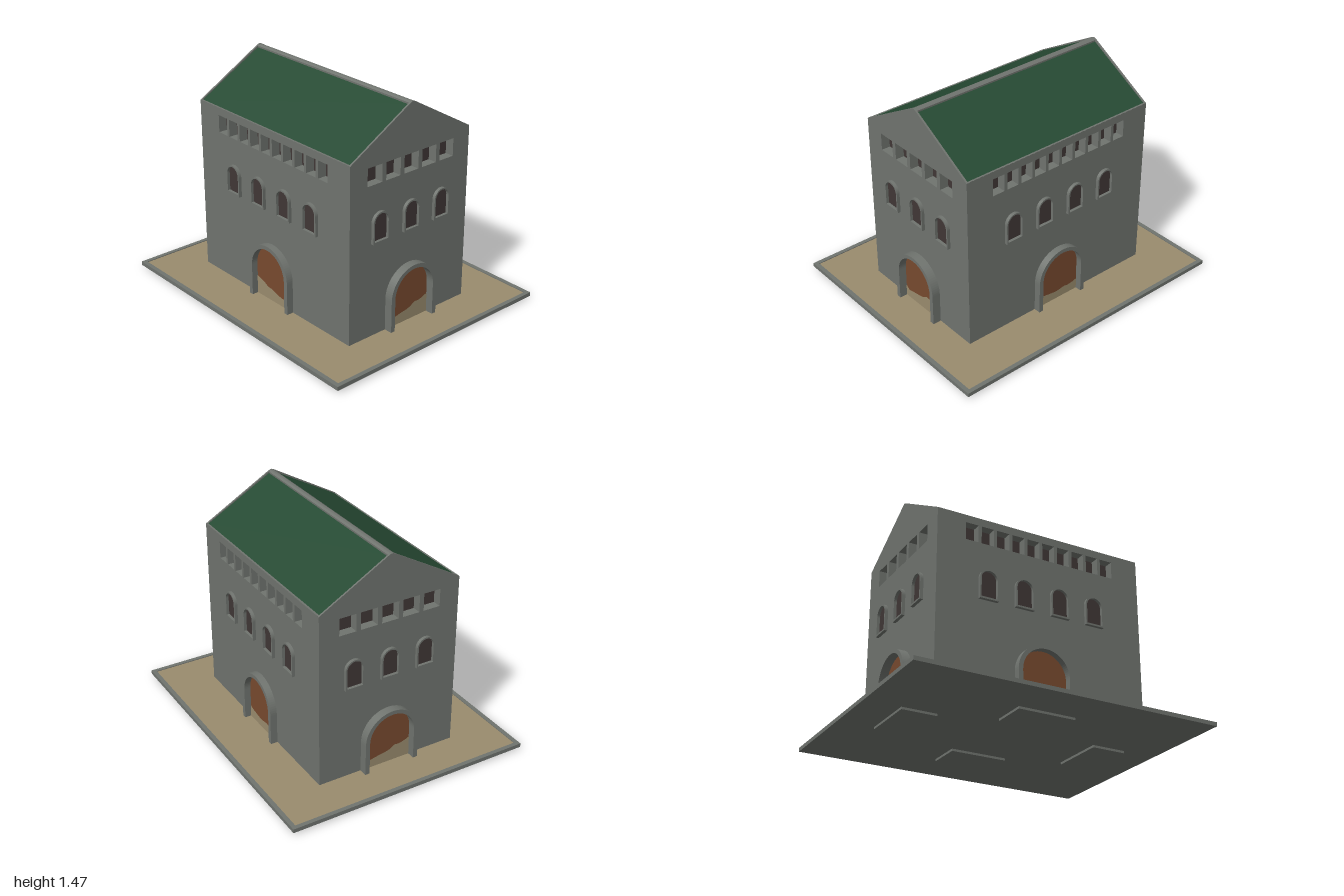
import * as THREE from 'three';

const mat = (name, color) => {
  const m = new THREE.MeshStandardMaterial({ color });
  m.name = name;
  return m;
};

export function createModel() {
  const root = new THREE.Group();
  root.name = 'gabledHall';
  const stone = mat('greyStone', 0x70746f);
  const sand = mat('sand', 0x9a8c6e);
  const green = mat('greenRoof', 0x264a33);
  const brown = mat('brownDoor', 0x784a2f);
  const dark = mat('darkGlass', 0x403736);

  const X = 0.713, Z = 0.483, EAVE = 1.2, WALL = 0.06;

  const add = (parent, name, geo, m, x = 0, y = 0, z = 0) => {
    const mesh = new THREE.Mesh(geo, m);
    mesh.name = name;
    mesh.position.set(x, y, z);
    parent.add(mesh);
    return mesh;
  };
  const poly = (pts) => new THREE.Shape(pts.map(([x, y]) => new THREE.Vector2(x, y)));
  const rect = (x0, y0, x1, y1) => poly([[x0, y0], [x1, y0], [x1, y1], [x0, y1]]);
  const arch = (r, y0, spring, cx = 0) => {
    const s = new THREE.Shape();
    s.moveTo(cx - r, y0);
    s.lineTo(cx + r, y0);
    s.lineTo(cx + r, spring);
    s.absarc(cx, spring, r, 0, Math.PI, false);
    s.closePath();
    return s;
  };
  const extrude = (shape, depth) =>
    new THREE.ExtrudeGeometry(shape, { depth, bevelEnabled: false, curveSegments: 20 });

  // Base slab with a raised rim around the sand
  add(root, 'baseSlab', new THREE.BoxGeometry(2, 0.018, 1.65), stone, 0, 0.024, 0);
  add(root, 'courtyard', new THREE.BoxGeometry(1.95, 0.004, 1.6), sand, 0, 0.034, 0);
  const rimShape = rect(-1, -0.825, 1, 0.825);
  rimShape.holes.push(rect(-0.972, -0.797, 0.972, 0.797));
  add(root, 'baseRim', extrude(rimShape, 0.01), stone, 0, 0.031, 0).rotation.x = -Math.PI / 2;

  // One facade: local +z points outwards, d is the distance of the wall plane
  const facade = (o) => {
    const g = new THREE.Group();
    g.name = o.name;
    g.rotation.y = o.angle;
    root.add(g);
    const { d } = o;

    // Wall pierced by the row of square openings
    const wall = rect(-o.half, 0.03, o.half, EAVE);
    for (let i = 0; i < o.count; i++) {
      const cx = (i - (o.count - 1) / 2) * o.pitch;
      wall.holes.push(rect(cx - o.w / 2, 1.035, cx + o.w / 2, 1.15));
    }
    add(g, 'wall', extrude(wall, WALL), stone, 0, 0, d - WALL);
    add(g, 'upperWindowBacking', new THREE.BoxGeometry(o.count * o.pitch, 0.15, 0.008),
      dark, 0, 1.092, d - WALL - 0.003);

    // Arched windows with projecting frames
    for (const cx of o.windows) {
      const frame = arch(0.064, 0.66, 0.794, cx);
      frame.holes.push(arch(0.054, 0.672, 0.794, cx));
      add(g, 'windowFrame', extrude(frame, 0.03), stone, 0, 0, d - 0.009);
      add(g, 'windowPane', new THREE.ShapeGeometry(arch(0.058, 0.668, 0.794, cx), 20),
        dark, 0, 0, d + 0.002);
    }

    // Portal running back into the building, with a foot below the slab
    const portal = arch(0.19, 0, 0.248);
    portal.holes.push(arch(0.16, 0.033, 0.252));
    add(g, 'portalFrame', extrude(portal, 0.23), stone, 0, 0, d + o.out - 0.23);
    add(g, 'door', new THREE.ShapeGeometry(arch(0.165, 0.033, 0.252), 20), brown, 0, 0, d + 0.002);
    const n = o.drift.length - 1;
    const top = o.drift.map((y, i) => [0.162 - (0.324 * i) / n, y]);
    add(g, 'doorSand', new THREE.ShapeGeometry(poly([[-0.162, 0.033], [0.162, 0.033], ...top])),
      sand, 0, 0, d + 0.004);
  };

  // Drift heights run from the right edge of each door to the left
  const long = { d: Z, half: X, count: 10, pitch: 0.1065, w: 0.085, out: 0.046,
    windows: [-0.37, -0.125, 0.123, 0.37] };
  const gable = { d: X, half: Z - WALL, count: 5, pitch: 0.1455, w: 0.115, out: 0.056,
    windows: [-0.25, 0, 0.25] };
  const slopeL = [0.125, 0.095, 0.092, 0.098, 0.108, 0.118, 0.122, 0.142, 0.15, 0.163];
  const slopeR = [0.165, 0.15, 0.14, 0.142, 0.12, 0.11, 0.105, 0.098, 0.09, 0.115];
  const level = [0.11, 0.1, 0.095, 0.1, 0.094, 0.09, 0.095, 0.1, 0.105, 0.12];
  facade({ ...long, name: 'frontFacade', angle: 0, drift: slopeL });
  facade({ ...long, name: 'backFacade', angle: Math.PI, drift: level });
  facade({ ...gable, name: 'leftFacade', angle: Math.PI / 2, drift: slopeR });
  facade({ ...gable, name: 'rightFacade', angle: -Math.PI / 2, drift: slopeR });

  // Roof profiles lie in z and y and are extruded along x
  const alongX = (name, pts, length, cx, m) => {
    const geo = extrude(poly(pts), length);
    geo.translate(0, 0, -length / 2);
    geo.rotateY(Math.PI / 2);
    add(root, name, geo, m, cx, 0, 0);
  };
  alongX('roof', [[-0.472, EAVE], [0.472, EAVE], [0.015, 1.457], [-0.015, 1.457]],
    2 * X - 0.02, 0, green);
  for (const s of [-1, 1]) {
    alongX('gableEnd', [[-Z, EAVE], [Z, EAVE], [0.018, 1.468], [0.006, 1.473],
      [-0.006, 1.473], [-0.018, 1.468]], 0.012, s * (X - 0.006), stone);
    // Eave strip
    add(root, 'eave', new THREE.BoxGeometry(2 * X - 0.024, 0.008, 0.03), stone,
      0, EAVE - 0.003, s * (Z - 0.0155));
  }
  alongX('ridge', [[-0.022, 1.435], [0.022, 1.435], [0.022, 1.464], [0.008, 1.472],
    [-0.008, 1.472], [-0.022, 1.464]], 2 * X - 0.024, 0, stone);

  return root;
}
